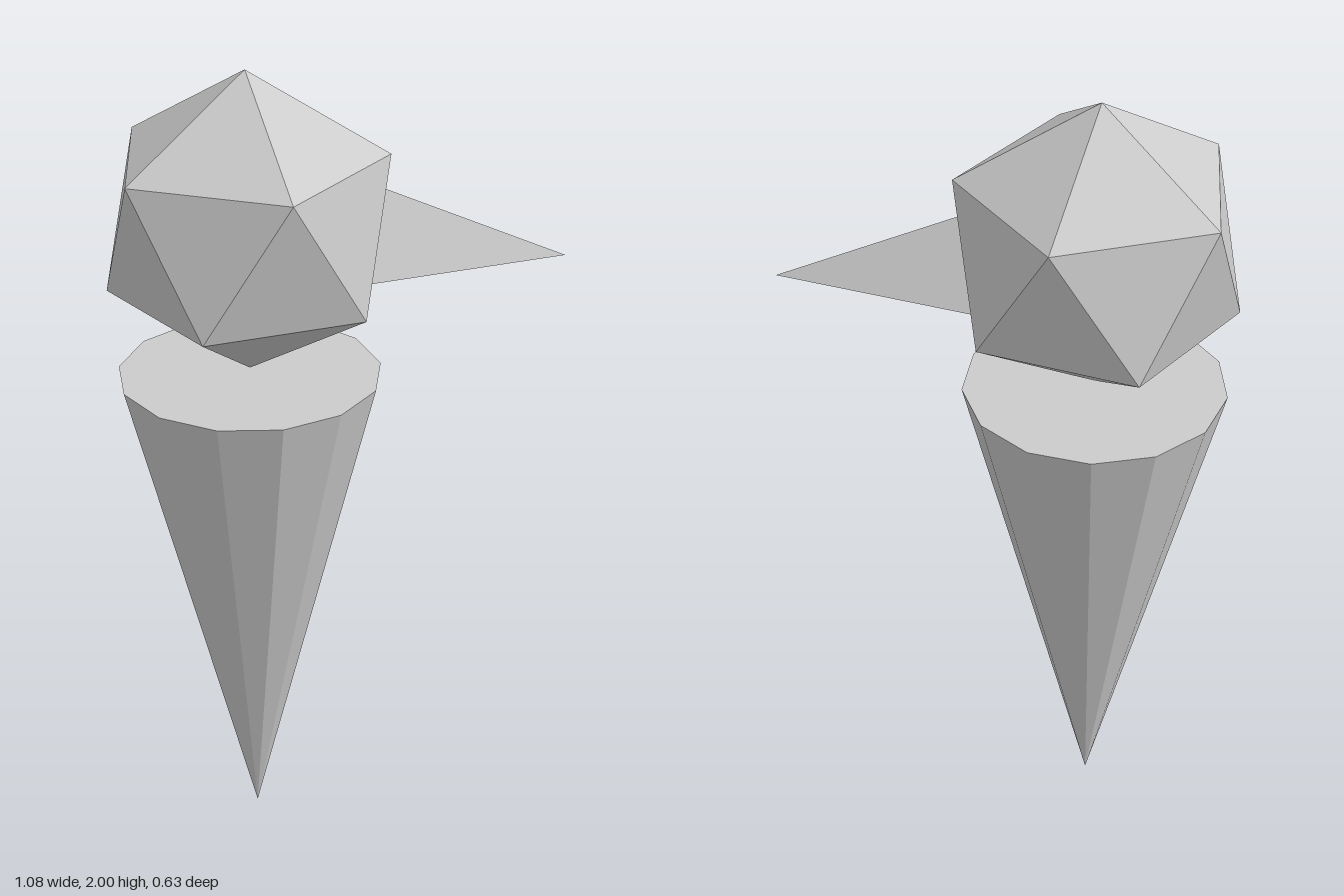
import * as THREE from 'three';

export function createModel() {
  const model = new THREE.Group();
  const material = new THREE.MeshStandardMaterial({ color: 0xcccccc, flatShading: true });
  const axisX = -0.21;

  function add(name, geometry, x, y, z) {
    const mesh = new THREE.Mesh(geometry, material);
    mesh.name = name;
    mesh.position.set(x, y, z);
    model.add(mesh);
    return mesh;
  }

  // Body: a 13-sided cone standing on its tip, closed by a flat top
  const bodyHeight = 1.245;
  const body = new THREE.ConeGeometry(0.317, bodyHeight, 13);
  body.rotateX(Math.PI);
  add('body', body, axisX, bodyHeight / 2, 0);

  // Head: an icosahedron turned so that one corner points straight up
  const head = new THREE.IcosahedronGeometry(0.372, 0);
  head.rotateZ(-Math.atan(2 / (1 + Math.sqrt(5))));
  add('head', head, axisX, 1.628, 0);

  // Beak: a three-sided cone, ridge on top, its base sunk into the head;
  // the tip is the pivot and points sideways and slightly down
  const beakLength = 0.545;
  const beak = new THREE.ConeGeometry(0.157, beakLength, 3, 1, false, -Math.PI / 2);
  beak.translate(0, -beakLength / 2, 0);
  beak.rotateZ(-Math.PI / 2 - 0.104);
  add('beak', beak, 0.535, 1.533, -0.01);

  return model;
}
